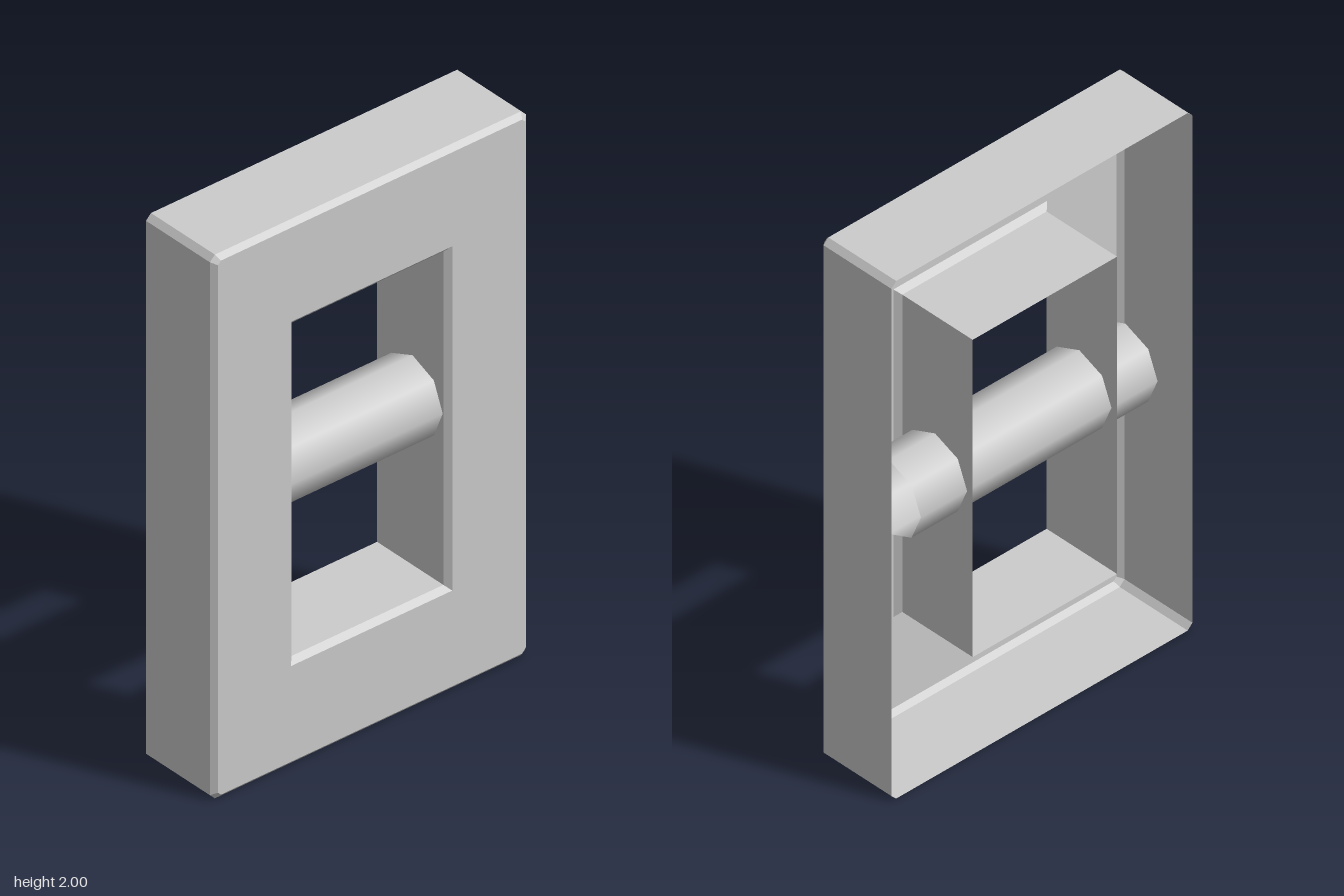
import * as THREE from 'three';

const MID = 1.0;
const material = new THREE.MeshStandardMaterial({ color: 0xcccccc, side: THREE.DoubleSide });

// Counter-clockwise rectangle outline with optional cut corners, at a given depth
function outline(halfW, halfH, depth, cut = 0, midY = MID) {
  const points = [];
  for (const [sx, sy] of [[1, -1], [1, 1], [-1, 1], [-1, -1]]) {
    const onSide = [sx * halfW, midY + sy * (halfH - cut), depth];
    const onEnd = [sx * (halfW - cut), midY + sy * halfH, depth];
    if (cut === 0) points.push(onSide);
    else if (sx === sy) points.push(onSide, onEnd);
    else points.push(onEnd, onSide);
  }
  return points;
}

// Flat-faced walls joining two matching outlines
function band(a, b) {
  const positions = [];
  a.forEach((p, i) => {
    const j = (i + 1) % a.length;
    positions.push(...p, ...a[j], ...b[j], ...p, ...b[j], ...b[i]);
  });
  const geometry = new THREE.BufferGeometry();
  geometry.setAttribute('position', new THREE.Float32BufferAttribute(positions, 3));
  geometry.computeVertexNormals();
  return geometry;
}

export function createModel() {
  const frame = new THREE.Group();
  frame.name = 'frame';
  const add = (name, geometry) => {
    const mesh = new THREE.Mesh(geometry, material);
    mesh.name = name;
    frame.add(mesh);
  };

  // Outlines of the open-backed casing and its window
  const rim = outline(0.636, 1.0, -0.155, 0.02);
  const shoulder = outline(0.636, 1.0, 0.148, 0.02);
  const faceEdge = outline(0.618, 0.982, 0.165, 0.012);
  const windowEdge = outline(0.325, 0.633, 0.165, 0, 1.003);
  const sleeveFront = outline(0.305, 0.613, 0.146, 0, 1.003);
  const sleeveBack = outline(0.305, 0.613, -0.168, 0, 1.003);

  add('outerWall', band(rim, shoulder));
  add('outerBevel', band(shoulder, faceEdge));
  add('windowBevel', band(windowEdge, sleeveFront));
  add('windowSleeve', band(sleeveFront, sleeveBack));

  // Face plate with the window cut out
  const toVectors = (points) => points.map(([x, y]) => new THREE.Vector2(x, y));
  const plate = new THREE.Shape(toVectors(faceEdge));
  plate.holes.push(new THREE.Path(toVectors(windowEdge)));
  add('facePlate', new THREE.ShapeGeometry(plate).translate(0, 0, 0.165));

  // Open eight-sided bar running across the window and through the sleeve
  const bar = new THREE.CylinderGeometry(0.143, 0.143, 1.0, 8, 1, true);
  add('crossBar', bar.rotateZ(Math.PI / 2).translate(0, 1.018, 0));

  // Turn the face plate towards the side
  frame.rotation.y = Math.PI / 2;
  const model = new THREE.Group();
  model.add(frame);
  return model;
}
